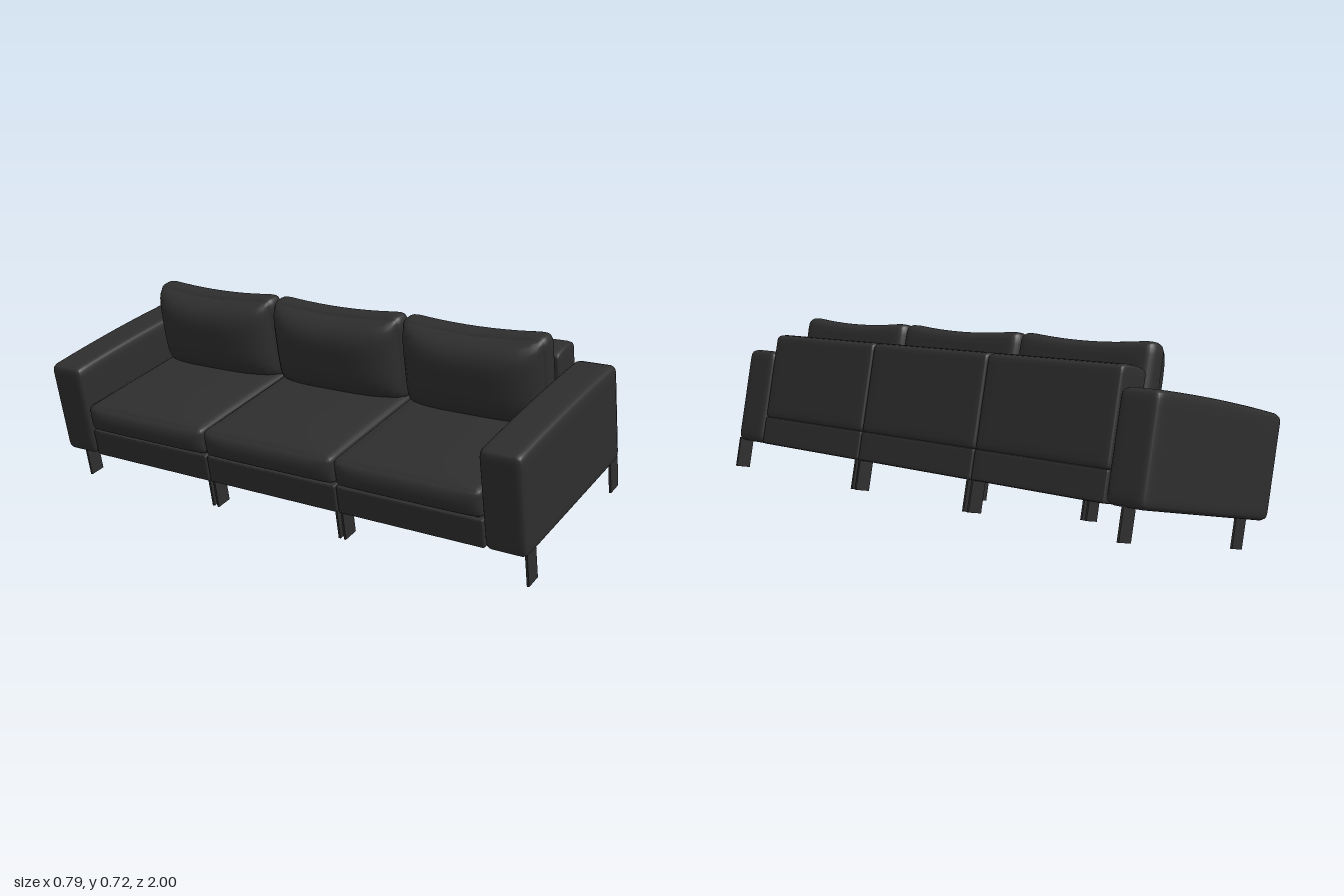
import * as THREE from 'three';
import { mergeVertices } from 'three/addons/utils/BufferGeometryUtils.js';

const TILT = THREE.MathUtils.degToRad(11.8);

// Rounded box between two corners; shape(p, s) may move each vertex,
// where s is the vertex position in the box, from -1 to 1 on each axis.
function softBox(min, max, radius, shape) {
  const half = max.map((m, i) => (m - min[i]) / 2);
  const mid = max.map((m, i) => (m + min[i]) / 2);
  const inner = new THREE.Vector3(...half).subScalar(radius);
  let geometry = new THREE.BoxGeometry(2, 2, 2, 16, 16, 16);
  geometry.deleteAttribute('uv');
  geometry.deleteAttribute('normal');
  geometry = mergeVertices(geometry);
  const position = geometry.attributes.position;
  const p = new THREE.Vector3(), core = new THREE.Vector3(), s = new THREE.Vector3();
  const spread = (t) => Math.sin(t * Math.PI / 2); // finer grid near the edges
  for (let i = 0; i < position.count; i++) {
    s.fromBufferAttribute(position, i);
    s.set(spread(s.x), spread(s.y), spread(s.z));
    p.set(s.x * half[0], s.y * half[1], s.z * half[2]);
    core.copy(p).clamp(inner.clone().negate(), inner);
    p.sub(core).setLength(radius).add(core);
    p.add(new THREE.Vector3(...mid));
    if (shape) shape(p, s);
    position.setXYZ(i, p.x, p.y, p.z);
  }
  geometry.computeVertexNormals();
  return geometry;
}

export function createModel() {
  const leather = new THREE.MeshStandardMaterial({ color: 0x2e2e2e });
  leather.name = 'charcoal leather';

  const model = new THREE.Group();
  model.name = 'sofa';
  // The sofa faces -x and leans forward on its front legs.
  const sofa = new THREE.Group();
  sofa.name = 'tiltedSofa';
  sofa.position.x = -0.288;
  sofa.rotation.z = TILT;
  model.add(sofa);

  const add = (name, geometry) => {
    const mesh = new THREE.Mesh(geometry, leather);
    mesh.name = name;
    sofa.add(mesh);
    return mesh;
  };

  // Arms with a gently crowned top
  for (const side of [-1, 1]) {
    const z = [0.845 * side, 0.998 * side].sort((a, b) => a - b);
    add(side > 0 ? 'leftArm' : 'rightArm', softBox(
      [-0.016, 0.107, z[0]], [0.705, 0.468, z[1]], 0.026,
      (p, s) => { if (s.y > 0) p.y += 0.008 * s.y * (1 - s.x * s.x); }));
  }

  // Three modules side by side
  const edges = [-0.846, -0.282, 0.282, 0.846];
  for (let i = 0; i < 3; i++) {
    const z0 = edges[i] + 0.002, z1 = edges[i + 1] - 0.002;

    add('base', softBox([-0.008, 0.107, z0], [0.7, 0.212, z1], 0.008));

    add('backrest', softBox([0.568, 0.21, z0], [0.703, 0.53, z1], 0.016,
      (p, s) => { if (s.y > 0) p.y += 0.01 * s.y * (1 - s.x * s.x); }));

    add('seatCushion', softBox([-0.01, 0.213, z0], [0.56, 0.318, z1], 0.022,
      (p, s) => {
        if (s.y > 0) p.y += 0.012 * s.y * (1 - s.x ** 4) * (1 - s.z ** 4);
        if (s.x < 0) p.x += 0.022 * s.x * (1 - s.y * s.y) * (1 - s.z ** 8);
      }));

    // Plump pillow: bulging front, raised top corners
    add('backPillow', softBox([0.472, 0.3, z0], [0.57, 0.632, z1], 0.04,
      (p, s) => {
        p.x -= 0.088 * (1 - s.x) / 2 * (1 - s.y ** 4) * (1 - s.z ** 4);
        if (s.y > 0) p.y -= 0.018 * s.y * (1 - s.z * s.z);
      }));
  }

  // Flat plate legs, doubled where modules meet
  for (const z of [-0.915, -0.292, -0.27, 0.27, 0.292, 0.986]) {
    for (const [name, x] of [['frontLeg', 0.031], ['backLeg', 0.667]]) {
      add(name, new THREE.BoxGeometry(0.062, 0.115, 0.008)).position.set(x, 0.0575, z);
    }
  }
  return model;
}
